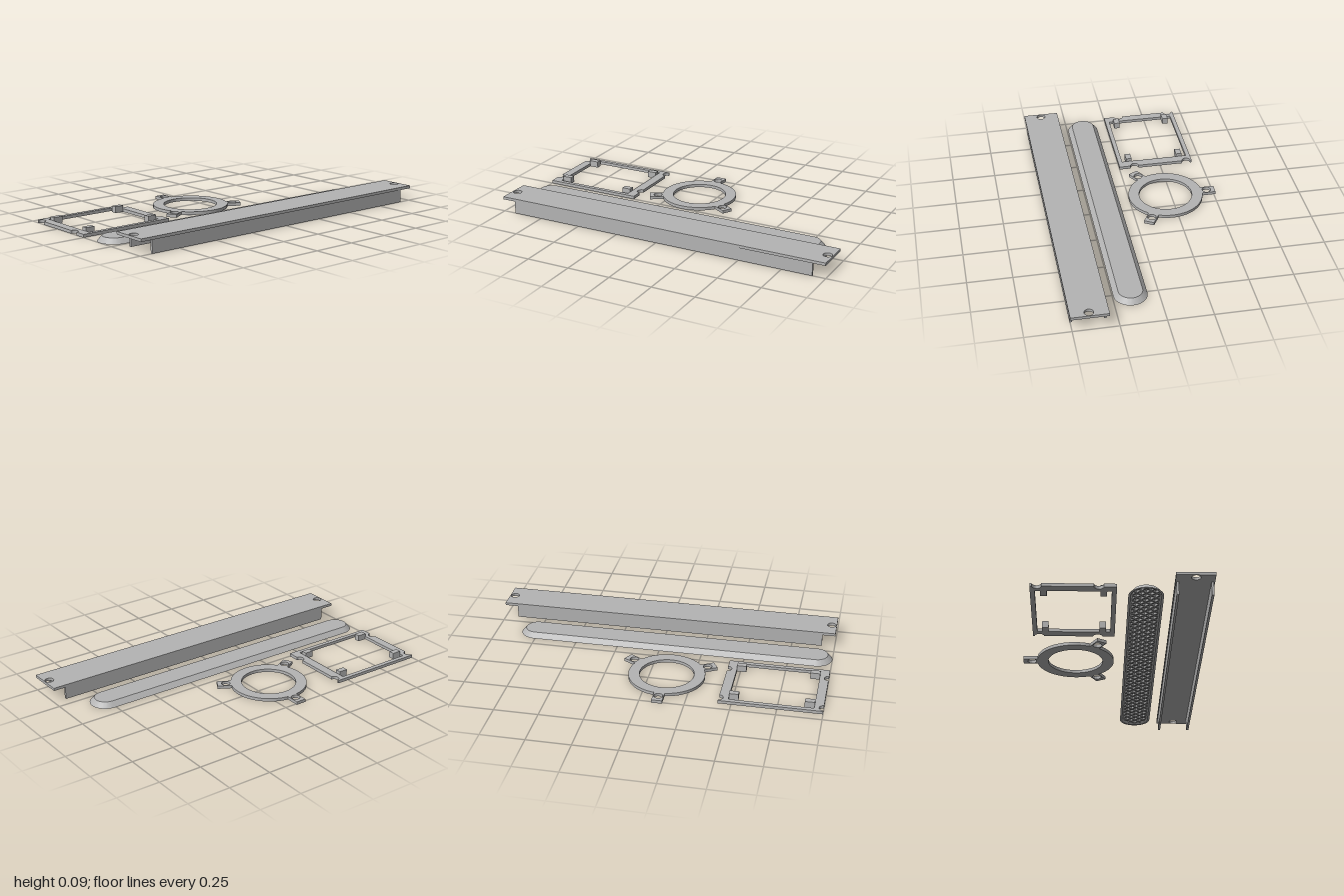
import * as THREE from 'three';
import { toCreasedNormals } from 'three/addons/utils/BufferGeometryUtils.js';

const grey = new THREE.MeshStandardMaterial({ color: 0xb4b4b4 });
grey.name = 'plain grey';

function add(group, name, geometry) {
  const mesh = new THREE.Mesh(geometry, grey);
  mesh.name = name;
  group.add(mesh);
  return mesh;
}

// Box given by its limits on each axis
function box(x0, x1, y0, y1, z0, z1) {
  return new THREE.BoxGeometry(x1 - x0, y1 - y0, z1 - z0)
    .translate((x0 + x1) / 2, (y0 + y1) / 2, (z0 + z1) / 2);
}

// Flat plate: the outline lies in (x, -z) and is raised from y to y + h
function plate(shape, y, h) {
  const g = new THREE.ExtrudeGeometry(shape, { depth: h, bevelEnabled: false, curveSegments: 32 });
  return toCreasedNormals(g.rotateX(-Math.PI / 2).translate(0, y, 0), 0.5);
}

function rectangle(x0, x1, z0, z1) {
  return new THREE.Shape([[x0, -z1], [x1, -z1], [x1, -z0], [x0, -z0]].map(p => new THREE.Vector2(...p)));
}

function hole(x, z, r) {
  return new THREE.Path().absarc(x, -z, r, 0, Math.PI * 2, true);
}

// Channel beam: overhanging top plate with end holes, two side walls
function channelBeam() {
  const g = new THREE.Group();
  g.name = 'channelBeam';
  const top = rectangle(-1, 1, 0.302, 0.508);
  for (const x of [-0.97, 0.97]) top.holes.push(hole(x, 0.407, 0.025));
  add(g, 'beamTop', plate(top, 0.075, 0.016));
  add(g, 'beamFrontWall', box(-0.925, 0.925, 0, 0.075, 0.489, 0.502));
  add(g, 'beamBackWall', box(-0.925, 0.925, 0, 0.075, 0.308, 0.321));
  return g;
}

// Hollow rounded cover with sloping sides and a diamond lattice underneath
function roundedCover() {
  const g = new THREE.Group();
  g.name = 'roundedCover';
  const xa = -0.908, xb = 0.758, zc = 0.152, half = 24;
  const profile = [[0, 0.02], [0.064, 0.02], [0.08, 0], [0.092, 0], [0.066, 0.029], [0, 0.029]];
  const pos = [], idx = [], n = 2 * (half + 1);
  for (const [r, y] of profile) {
    for (let i = 0; i < n; i++) {
      const right = i <= half;
      const a = -Math.PI / 2 + Math.PI * (right ? i : i - 1) / half;
      pos.push((right ? xb : xa) + r * Math.cos(a), y, zc - r * Math.sin(a));
    }
  }
  for (let k = 0; k < profile.length - 1; k++) {
    for (let i = 0; i < n; i++) {
      const a = k * n + i, b = k * n + (i + 1) % n;
      idx.push(a, b, b + n, a, b + n, a + n);
    }
  }
  const shell = new THREE.BufferGeometry();
  shell.setAttribute('position', new THREE.Float32BufferAttribute(pos, 3));
  shell.setIndex(idx);
  add(g, 'coverShell', toCreasedNormals(shell, 0.5));

  // Diagonal ribs, cut to the rounded outline by stepping along each line
  const inside = (x, z) => Math.hypot(x - Math.min(xb, Math.max(xa, x)), z) < 0.072;
  for (const side of [-1, 1]) {
    for (let x = -1.02; x < 0.9; x += 0.05) {
      let t0 = null, t1 = null;
      for (let t = -0.08; t <= 0.08; t += 0.002) {
        if (inside(x + side * t, t)) { t0 ??= t; t1 = t; }
      }
      if (t0 === null || t1 - t0 < 0.01) continue;
      const rib = new THREE.BoxGeometry((t1 - t0) * Math.SQRT2, 0.013, 0.008);
      const mid = (t0 + t1) / 2;
      rib.rotateY(-side * Math.PI / 4).translate(x + side * mid, 0.0145, zc + mid);
      add(g, 'coverRib', rib);
    }
  }
  return g;
}

// Mounting ring with three drilled lugs
function mountingRing() {
  const g = new THREE.Group();
  g.name = 'mountingRing';
  const ring = new THREE.Shape().absarc(0, 0, 0.217, 0, Math.PI * 2, false);
  ring.holes.push(hole(0, 0, 0.155));
  add(g, 'ringBody', plate(ring, 0, 0.018));
  for (let i = 0; i < 3; i++) {
    const lug = rectangle(-0.03, 0.03, -0.295, -0.208);
    lug.holes.push(hole(0, -0.246, 0.025));
    add(g, 'ringLug', plate(lug, 0, 0.018)).rotation.y = i * Math.PI * 2 / 3;
  }
  g.position.set(-0.1, 0, -0.215);
  return g;
}

// Board frame: notched sides, square opening and four raised pads
function boardFrame() {
  const g = new THREE.Group();
  g.name = 'boardFrame';
  const x0 = -1, x1 = -0.427, notch = 0.025, notches = [-0.092, -0.41];
  const s = new THREE.Shape();
  s.moveTo(x0, 0);
  s.lineTo(x1, 0);
  for (const z of notches) {
    s.lineTo(x1, -z - notch);
    s.absarc(x1, -z, notch, -Math.PI / 2, Math.PI / 2, true);
  }
  s.lineTo(x1, 0.445);
  s.lineTo(x0, 0.445);
  for (const z of [...notches].reverse()) {
    s.lineTo(x0, -z + notch);
    s.absarc(x0, -z, notch, Math.PI / 2, -Math.PI / 2, true);
  }
  s.closePath();
  s.holes.push(rectangle(-0.949, -0.481, -0.42, -0.025));
  add(g, 'frameBody', plate(s, 0, 0.018));
  for (const [a, b] of [[-0.95, -0.895], [-0.533, -0.48]]) {
    for (const z of [-0.393, -0.083]) add(g, 'framePad', box(a, b, 0, 0.037, z, z + 0.034));
  }
  return g;
}

export function createModel() {
  const model = new THREE.Group();
  model.name = 'bracketKit';
  model.add(channelBeam(), roundedCover(), mountingRing(), boardFrame());
  return model;
}
